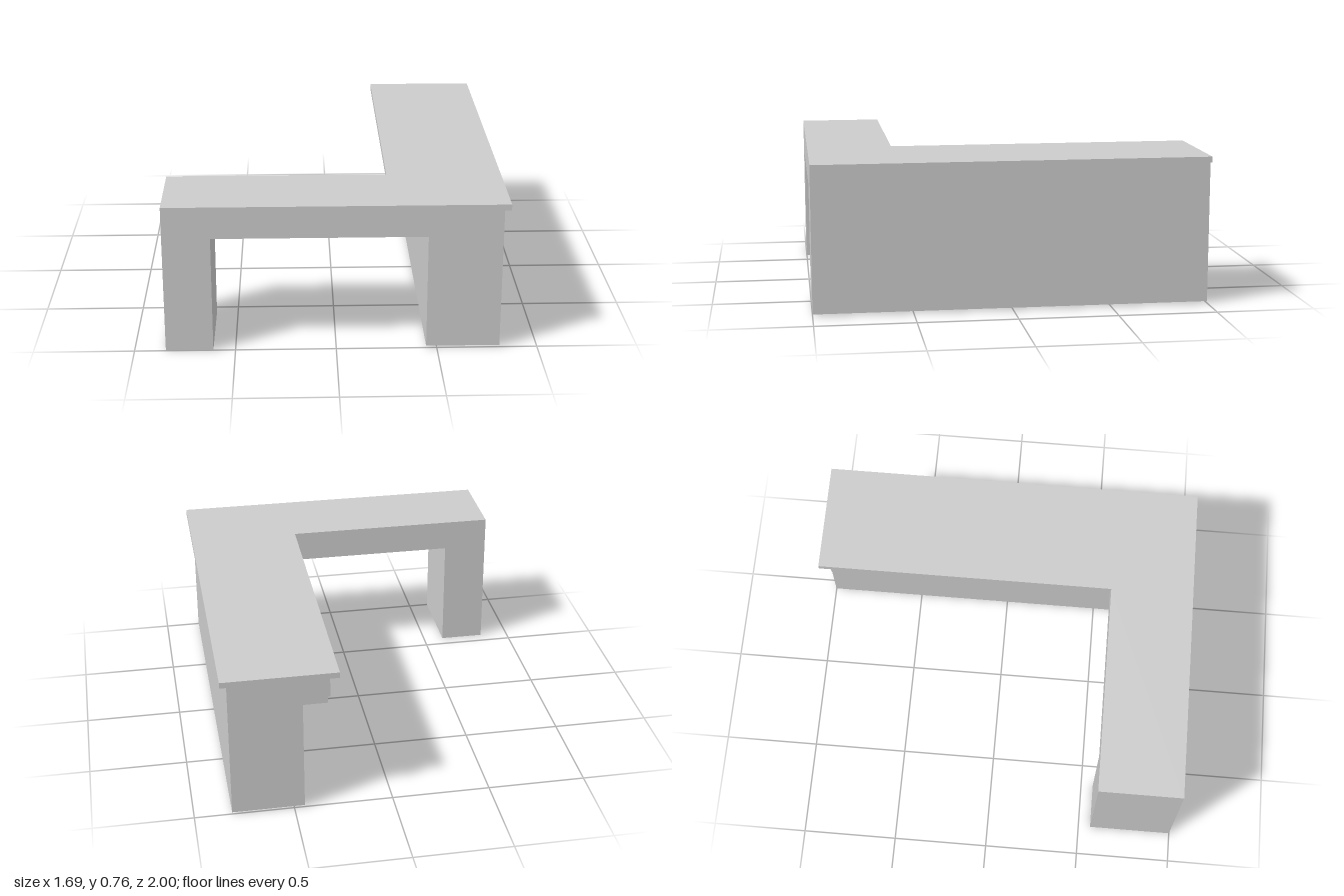
import * as THREE from 'three';

const material = new THREE.MeshStandardMaterial({ color: 0xcccccc, flatShading: true });

// Box given by its extents along each axis
function block(name, [x0, x1], [y0, y1], [z0, z1]) {
  const mesh = new THREE.Mesh(new THREE.BoxGeometry(x1 - x0, y1 - y0, z1 - z0), material);
  mesh.position.set((x0 + x1) / 2, (y0 + y1) / 2, (z0 + z1) / 2);
  mesh.name = name;
  return mesh;
}

export function createModel() {
  const group = new THREE.Group();
  group.name = 'cornerDesk';

  // L-shaped worktop, outlined in x and -z, extruded upwards
  const outline = [[-0.845, -1], [0.845, -1], [0.845, 1], [0.265, 1], [0.265, -0.565], [-0.845, -0.565]];
  const shape = new THREE.Shape(outline.map(([x, y]) => new THREE.Vector2(x, y)));
  const topGeometry = new THREE.ExtrudeGeometry(shape, { depth: 0.03, bevelEnabled: false });
  topGeometry.rotateX(-Math.PI / 2);
  const worktop = new THREE.Mesh(topGeometry, material);
  worktop.position.y = 0.73;
  worktop.name = 'worktop';
  group.add(worktop);

  // Long cabinet, and the side arm with its leg
  group.add(
    block('cabinet', [0.447, 0.812], [0.01, 0.73], [-1, 1]),
    block('armApron', [-0.845, 0.447], [0.597, 0.73], [0.565, 1]),
    block('leg', [-0.845, -0.61], [0, 0.597], [0.565, 1]),
  );

  // Drawer case under the overhang, with raised drawer fronts
  group.add(block('drawerCase', [0.325, 0.447], [0.597, 0.73], [-1, 0.565]));
  for (const span of [[-0.95, -0.45], [-0.4, 0.32]]) {
    group.add(block('drawerFront', [0.305, 0.325], [0.6, 0.725], span));
  }
  return group;
}
